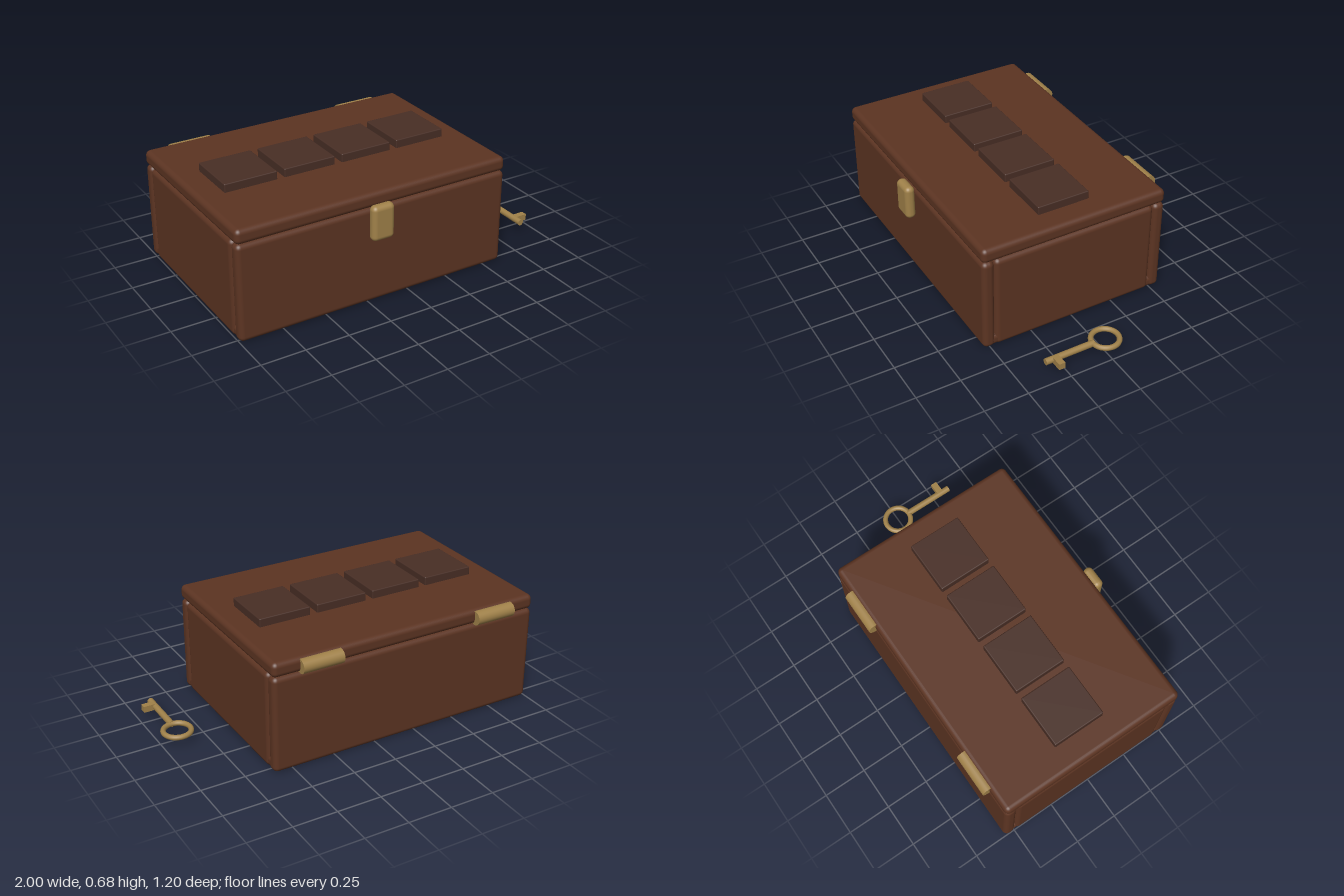
import * as THREE from 'three';
import { RoundedBoxGeometry } from 'three/addons/geometries/RoundedBoxGeometry.js';

function material(name, color) {
  const m = new THREE.MeshStandardMaterial({ color });
  m.name = name;
  return m;
}

export function createModel() {
  const wood = material('brownWood', 0x5c3422);
  const darkWood = material('darkWood', 0x482e25);
  const brass = material('brass', 0xa08149);
  const model = new THREE.Group();
  model.name = 'lockedBox';

  function add(parent, name, geometry, mat, x = 0, y = 0, z = 0) {
    const mesh = new THREE.Mesh(geometry, mat);
    mesh.name = name;
    mesh.position.set(x, y, z);
    parent.add(mesh);
    return mesh;
  }
  // Rounded block given by its extents on each axis
  function block(parent, name, mat, [x0, x1], [y0, y1], [z0, z1], r) {
    const g = new RoundedBoxGeometry(x1 - x0, y1 - y0, z1 - z0, 4, r);
    return add(parent, name, g, mat, (x0 + x1) / 2, (y0 + y1) / 2, (z0 + z1) / 2);
  }

  // Chest: floor, four walls and lid
  const chest = new THREE.Group();
  chest.name = 'chest';
  model.add(chest);
  const width = [-1, 0.61], wallY = [0, 0.55];
  block(chest, 'floor', wood, [-0.995, 0.605], [0, 0.07], [-0.555, 0.53], 0.028);
  block(chest, 'frontWall', wood, width, wallY, [0.467, 0.537], 0.028);
  block(chest, 'backWall', wood, width, wallY, [-0.56, -0.49], 0.028);
  block(chest, 'leftWall', wood, [0.54, 0.61], wallY, [-0.49, 0.467], 0.028);
  block(chest, 'rightWall', wood, [-1, -0.93], wallY, [-0.49, 0.467], 0.028);
  block(chest, 'lid', wood, width, [0.55, 0.633], [-0.56, 0.537], 0.028);

  // Four dark tiles on the lid
  for (let i = 0; i < 4; i++) {
    const x = -0.86 + i * 0.344;
    block(chest, 'tile', darkWood, [x, x + 0.302], [0.62, 0.68], [-0.164, 0.14], 0.006);
  }

  // Brass latch and hinges
  block(chest, 'latch', brass, [-0.262, -0.13], [0.383, 0.583], [0.542, 0.6], 0.027);
  for (const x of [-0.728, 0.338]) {
    const hinge = add(chest, 'hinge', new THREE.CylinderGeometry(0.04, 0.04, 0.236, 24), brass, x, 0.586, -0.561);
    hinge.rotation.z = Math.PI / 2;
  }

  // Key lying beside the chest
  const key = new THREE.Group();
  key.name = 'key';
  key.position.set(0.905, 0.065, -0.012);
  model.add(key);
  const bow = add(key, 'keyBow', new THREE.TorusGeometry(0.075, 0.015, 12, 40), brass);
  bow.rotation.x = Math.PI / 2;
  const shaft = add(key, 'keyShaft', new THREE.CylinderGeometry(0.018, 0.018, 0.29, 16), brass, 0, 0, 0.215);
  shaft.rotation.x = Math.PI / 2;
  add(key, 'keyBit', new THREE.BoxGeometry(0.07, 0.036, 0.036), brass, 0.035, 0, 0.302);

  return model;
}
